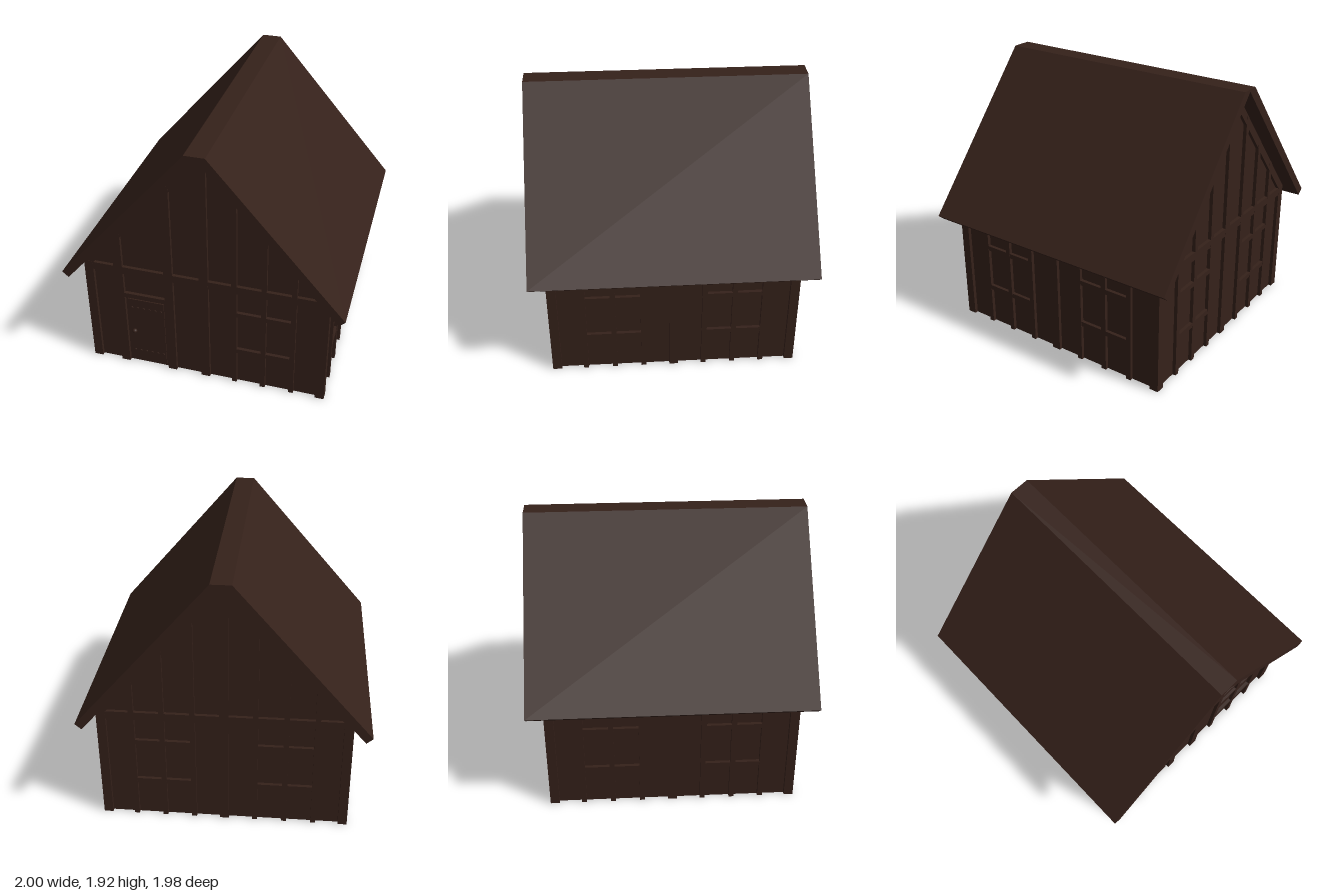
import * as THREE from 'three';

const OUT = 0.88, IN = 0.815, MID = (OUT + IN) / 2, DEPTH = OUT - IN;
const BEAM_LOW = 0.82, BEAM_HIGH = 0.88, SLOPE = 1.16;
const timber = new THREE.MeshStandardMaterial({ color: 0x35211a });
timber.side = THREE.DoubleSide;

// Height of the underside of the roof above a given x
const underside = (x) => 1.905 - SLOPE * Math.abs(x);

function add(parent, name, geometry, x = 0, y = 0, z = 0) {
  const mesh = new THREE.Mesh(geometry, timber);
  mesh.name = name;
  mesh.position.set(x, y, z);
  parent.add(mesh);
  return mesh;
}

// Box given by its left, right, bottom and top, centred on z
function slab(parent, name, x0, x1, y0, y1, depth = DEPTH, z = 0) {
  return add(parent, name, new THREE.BoxGeometry(x1 - x0, y1 - y0, depth), (x0 + x1) / 2, (y0 + y1) / 2, z);
}

// Outline in x and y, extruded evenly to both sides of z = 0
function prism(parent, name, points, depth) {
  const shape = new THREE.Shape(points.map(([x, y]) => new THREE.Vector2(x, y)));
  const geometry = new THREE.ExtrudeGeometry(shape, { depth, bevelEnabled: false });
  geometry.translate(0, 0, -depth / 2);
  return add(parent, name, geometry);
}

// Timber lattice with three uprights and two rails
function windowFrame(wall, side, topOf) {
  const frame = new THREE.Group();
  frame.name = 'windowFrame';
  for (const x of [0.217, 0.428, 0.637]) {
    slab(frame, 'windowUpright', side * x - 0.018, side * x + 0.018, 0, topOf(x));
  }
  for (const y of [0.3, 0.632]) {
    const a = side * 0.235, b = side * 0.62;
    slab(frame, 'windowRail', Math.min(a, b), Math.max(a, b), y - 0.018, y + 0.018, DEPTH * 0.96);
  }
  wall.add(frame);
}

// Plank door with lintel, rows of studs and a knob, on both faces
function door(wall) {
  const group = new THREE.Group();
  group.name = 'door';
  slab(group, 'doorLintel', -0.594, -0.289, 0.612, 0.65);
  slab(group, 'doorLeaf', -0.578, -0.308, 0.02, 0.59, 0.032);
  for (const side of [1, -1]) {
    for (const y of [0.11, 0.515]) {
      for (let i = 0; i < 6; i++) {
        const stud = add(group, 'doorStud', new THREE.CylinderGeometry(0.01, 0.01, 0.008, 10),
          -0.55 + i * 0.044, y, side * 0.019);
        stud.rotation.x = Math.PI / 2;
      }
    }
    add(group, 'doorKnob', new THREE.SphereGeometry(0.018, 14, 10), -0.54, 0.3, side * 0.026);
  }
  wall.add(group);
}

// End wall with gable; the front one has the door
function gableWall(name, hasDoor) {
  const wall = new THREE.Group();
  wall.name = name;
  const e = MID;
  prism(wall, 'gablePanel', [[-e, 0], [e, 0], [e, underside(e)], [0, underside(0)], [-e, underside(e)]], 0.015);
  slab(wall, 'crossBeam', -IN, IN, BEAM_LOW, BEAM_HIGH, DEPTH * 0.98);
  slab(wall, 'centrePost', -0.032, 0.032, 0, underside(0.032));

  // Sloping timbers below the roof
  const drop = 0.085, foot = 0.875;
  prism(wall, 'gableRafters', [
    [-foot, underside(foot)], [0, underside(0)], [foot, underside(foot)],
    [foot, underside(foot) - drop], [0, underside(0) - drop], [-foot, underside(foot) - drop],
  ], DEPTH * 0.96);

  windowFrame(wall, 1, underside);
  if (hasDoor) {
    for (const x of [-0.626, -0.257]) slab(wall, 'doorPost', x - 0.032, x + 0.032, 0, underside(x));
    door(wall);
  } else {
    windowFrame(wall, -1, underside);
  }
  return wall;
}

// Long wall under the eaves with two windows
function sideWall(name) {
  const wall = new THREE.Group();
  wall.name = name;
  slab(wall, 'wallPanel', -MID, MID, 0, BEAM_HIGH, 0.015);
  slab(wall, 'eaveBeam', -IN, IN, BEAM_LOW, BEAM_HIGH, DEPTH * 0.98);
  slab(wall, 'centrePost', -0.032, 0.032, 0, BEAM_HIGH);
  for (const side of [1, -1]) windowFrame(wall, side, () => BEAM_HIGH);
  return wall;
}

export function createModel() {
  const house = new THREE.Group();
  house.name = 'timberHouse';

  const front = gableWall('frontWall', true);
  front.position.z = MID;
  const back = gableWall('backWall', false);
  back.position.z = -MID;
  back.rotation.y = Math.PI;
  house.add(front, back);

  for (const side of [1, -1]) {
    const wall = sideWall(side > 0 ? 'leftWall' : 'rightWall');
    wall.position.x = side * MID;
    wall.rotation.y = side * Math.PI / 2;
    house.add(wall);
    for (const end of [1, -1]) {
      slab(house, 'cornerPost', side * MID - DEPTH / 2, side * MID + DEPTH / 2, 0, 0.885, DEPTH, end * MID);
    }
  }

  // Steep roof with a flat ridge
  prism(house, 'roof', [
    [-1, 0.84], [-0.955, 0.8], [0, underside(0)], [0.955, 0.8],
    [1, 0.84], [0.07, 1.92], [-0.07, 1.92],
  ], 1.98);
  return house;
}
